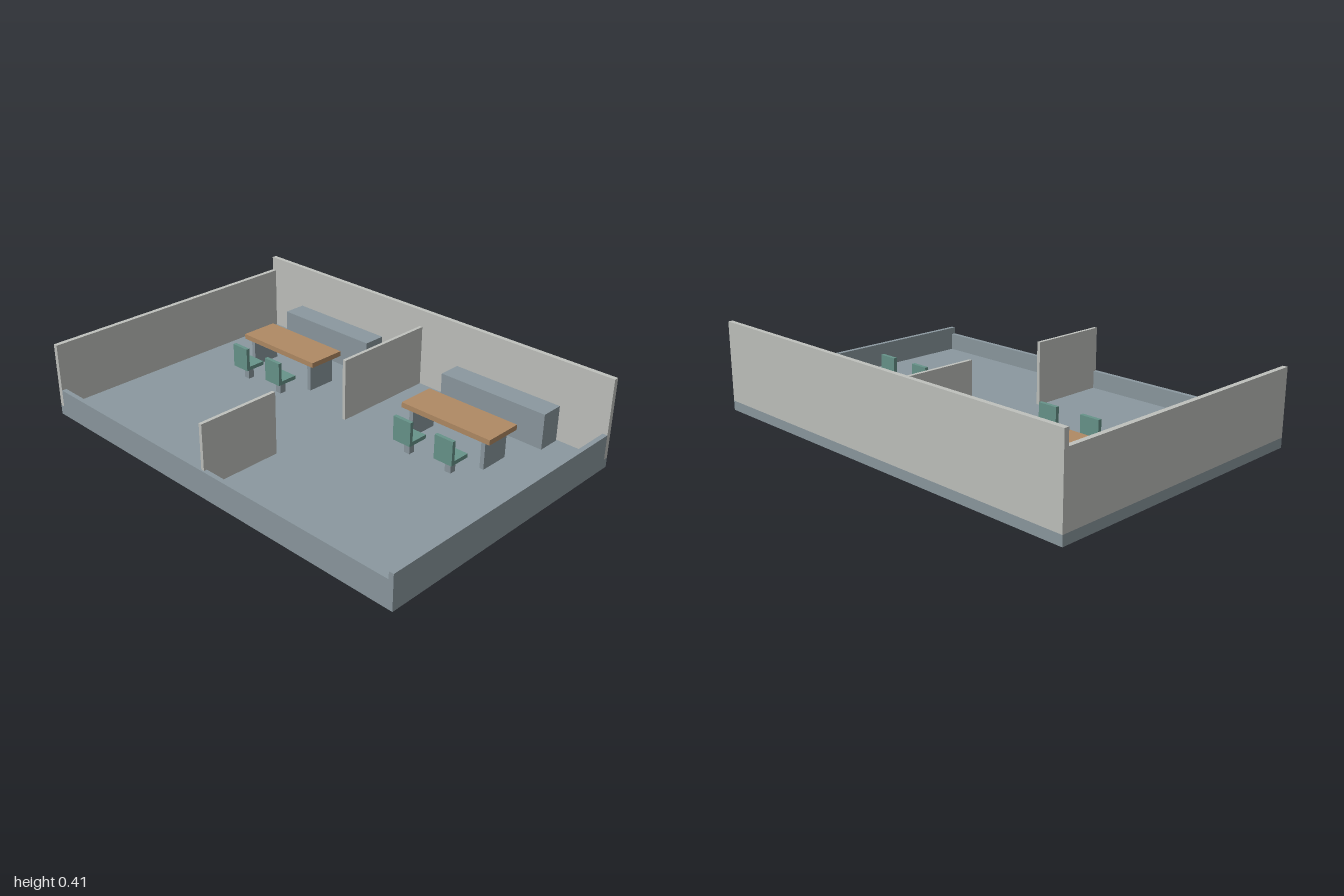
import * as THREE from 'three';

const material = (name, color) => {
  const m = new THREE.MeshStandardMaterial({ color });
  m.name = name;
  return m;
};

export function createModel() {
  const slate = material('slate blue grey', 0x8b989f);
  const plaster = material('pale plaster', 0xbfc1bd);
  const wood = material('warm wood', 0xb08a64);
  const green = material('muted green', 0x67948a);

  const W = 1, D = 0.667, T = 0.022; // half width, half depth, wall thickness
  const FLOOR = 0.044;

  // Box given by its lower and upper bounds on each axis
  const box = (parent, name, mat, [x0, x1], [y0, y1], [z0, z1]) => {
    const geo = new THREE.BoxGeometry(x1 - x0, y1 - y0, z1 - z0);
    const mesh = new THREE.Mesh(geo, mat);
    mesh.position.set((x0 + x1) / 2, (y0 + y1) / 2, (z0 + z1) / 2);
    mesh.name = name;
    parent.add(mesh);
  };

  const model = new THREE.Group();
  model.name = 'twoRoomOffice';

  // Floor slab and outer walls
  box(model, 'floorSlab', slate, [-W, W], [0, FLOOR], [-D, D]);
  box(model, 'backWall', plaster, [-W, W], [FLOOR, 0.412], [-D, -D + T]);
  box(model, 'rightWall', plaster, [-W, -W + T], [FLOOR, 0.345], [-D + T, D]);
  box(model, 'leftLowWall', slate, [W - T, W], [FLOOR, 0.158], [-D + T, D]);
  box(model, 'frontLowWall', slate, [-W + T, W - T], [FLOOR, 0.125], [D - T, D]);

  // Dividing wall with a doorway gap
  box(model, 'rearPartition', plaster, [-0.009, 0.007], [FLOOR, 0.332], [-D + T, -0.136]);
  box(model, 'frontPartition', plaster, [-0.009, 0.007], [FLOOR, 0.332], [0.275, 0.66]);

  // Chair: post, seat and backrest facing the table
  const addChair = (parent, x) => {
    const chair = new THREE.Group();
    chair.name = 'chair';
    chair.position.x = x;
    box(chair, 'chairPost', slate, [-0.015, 0.015], [FLOOR, 0.106], [-0.14, -0.11]);
    box(chair, 'chairSeat', green, [-0.046, 0.046], [0.106, 0.124], [-0.175, -0.073]);
    box(chair, 'chairBack', green, [-0.046, 0.046], [0.124, 0.217], [-0.09, -0.073]);
    parent.add(chair);
  };

  // The same furniture set in each room
  for (const x of [-0.503, 0.497]) {
    const room = new THREE.Group();
    room.name = 'furnitureSet';
    room.position.x = x;
    box(room, 'cabinet', slate, [-0.273, 0.273], [FLOOR, 0.21], [-0.638, -0.529]);
    box(room, 'tableTop', wood, [-0.231, 0.231], [0.176, 0.2], [-0.395, -0.212]);
    for (const side of [-1, 1]) {
      const c = side * 0.19;
      box(room, 'tableLeg', slate, [c - 0.01, c + 0.01], [FLOOR, 0.176], [-0.372, -0.228]);
      addChair(room, side * 0.109);
    }
    model.add(room);
  }
  return model;
}
